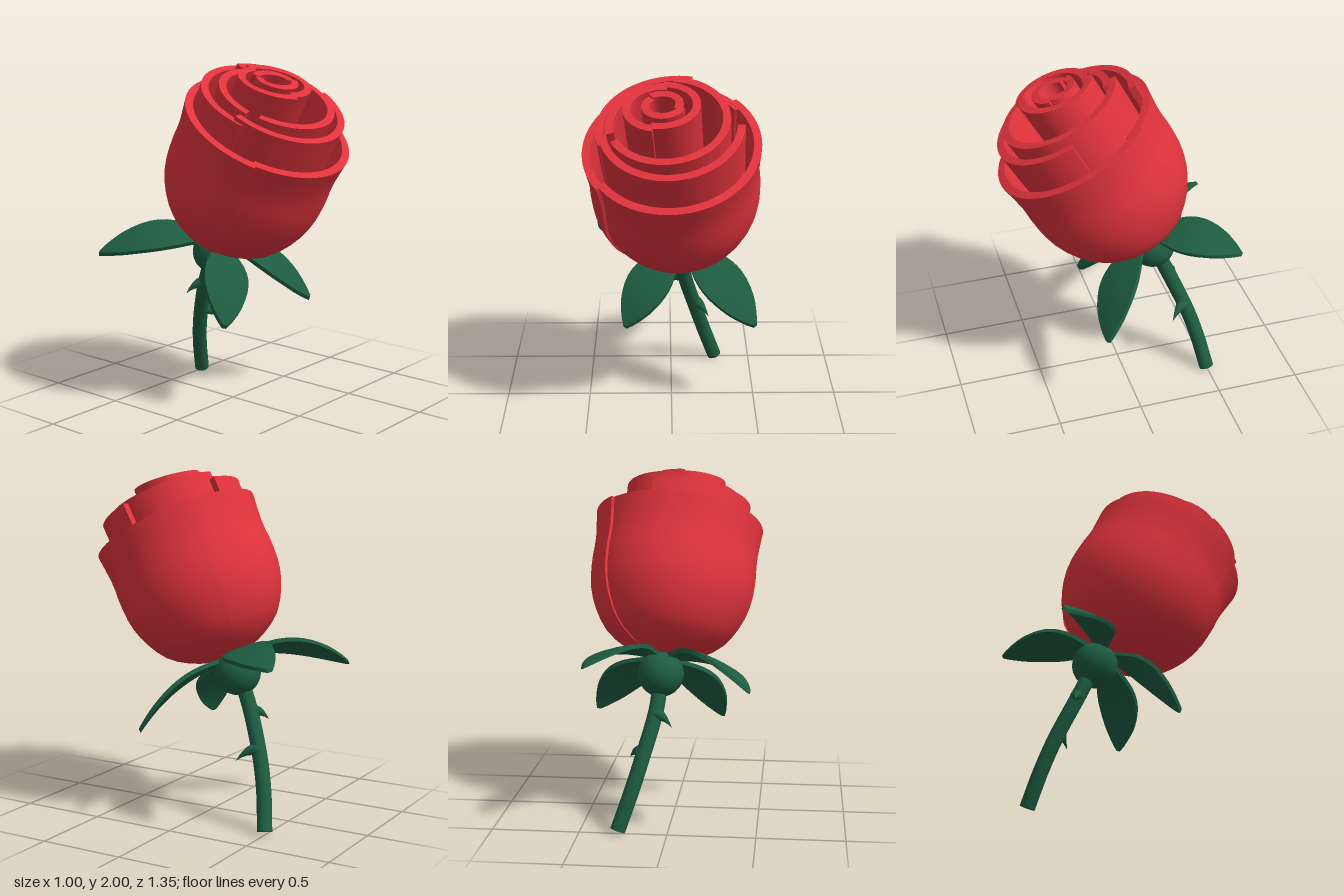
import * as THREE from 'three';

const red = new THREE.MeshStandardMaterial({ color: 0xe0333c });
const green = new THREE.MeshStandardMaterial({ color: 0x1d5c41 });
const V2 = (x, y) => new THREE.Vector2(x, y);
const V3 = (x, y, z) => new THREE.Vector3(x, y, z);

function mesh(name, geometry, material) {
  const m = new THREE.Mesh(geometry, material);
  m.name = name;
  return m;
}

// Reshape a unit box: rule(s, t, f) takes 0..1 fractions along x, y and z
function shapeBox(nx, ny, nz, rule) {
  const g = new THREE.BoxGeometry(1, 1, 1, nx, ny, nz);
  const p = g.attributes.position;
  for (let i = 0; i < p.count; i++) {
    const v = rule(p.getX(i) + 0.5, p.getY(i) + 0.5, p.getZ(i) + 0.5);
    p.setXYZ(i, v.x, v.y, v.z);
  }
  g.computeVertexNormals();
  return g;
}

// Thick curved wall: a profile swept from angle a0 to a1 (degrees, 0 = front).
// The radius grows by `spiral` along the sweep; `tilt` lifts the front of the rim.
function petal(name, points, a0, a1, spiral, tilt, thick) {
  const curve = new THREE.SplineCurve(points);
  const segments = Math.ceil((a1 - a0) / 5);
  const g = shapeBox(segments, 18, 1, (s, t, f) => {
    const a = THREE.MathUtils.degToRad(a0 + (a1 - a0) * s);
    const p = curve.getPoint(t), d = curve.getTangent(t);
    const inset = thick * (1 - f);
    const r = Math.max(0.005, p.x - d.y * inset + spiral * (s - 0.5) * Math.sqrt(t));
    const y = p.y + d.x * inset + tilt * Math.cos(a) * t;
    return V3(r * Math.sin(a), y, r * Math.cos(a));
  });
  return mesh(name, g, red);
}

// Pointed leaf growing along +z, arching up and then drooping
function sepal(length, droop) {
  const outline = new THREE.SplineCurve([
    V2(0, 0.03), V2(0.15, 0.065), V2(0.38, 0.122), V2(0.58, 0.135),
    V2(0.78, 0.105), V2(0.92, 0.055), V2(1, 0.012)]);
  const g = shapeBox(4, 1, 16, (s, t, f) => {
    const w = outline.getPoint(f), side = (s - 0.5) * 2;
    const y = 0.09 + 0.07 * w.x - (droop + 0.16) * w.x ** 2.2
      - 0.008 * side * side * Math.sin(Math.PI * f) + (t - 0.5) * 0.025;
    return V3(side * w.y, y, 0.04 + w.x * (length - 0.04));
  });
  return mesh('sepal', g, green);
}

// Curved hook from a point on the stem to its tip
function thorn(base, tip) {
  const dir = tip.clone().sub(base);
  const g = new THREE.ConeGeometry(0.045, dir.length(), 10, 5);
  g.translate(0, dir.length() / 2, 0);
  g.applyQuaternion(new THREE.Quaternion().setFromUnitVectors(V3(0, 1, 0), dir.clone().normalize()));
  const p = g.attributes.position;
  for (let i = 0; i < p.count; i++) {
    const k = V3().fromBufferAttribute(p, i).dot(dir) / dir.lengthSq();
    p.setY(i, p.getY(i) + 0.09 * k * (1 - k));
  }
  g.computeVertexNormals();
  const m = mesh('thorn', g, green);
  m.position.copy(base);
  return m;
}

export function createModel() {
  const model = new THREE.Group();
  model.name = 'rose';

  // Flower head, leaning forward on top of the stem
  const head = new THREE.Group();
  head.name = 'flowerHead';
  head.position.set(0.065, 0.86, -0.197);
  head.quaternion.setFromUnitVectors(V3(0, 1, 0), V3(-0.07, 0.87, 0.49).normalize());
  model.add(head);

  // Two large outer petals forming the cup
  const cup = [V2(0.01, 0.1), V2(0.1, 0.11), V2(0.22, 0.15), V2(0.34, 0.23), V2(0.42, 0.35),
    V2(0.465, 0.48), V2(0.477, 0.62), V2(0.473, 0.76), V2(0.49, 0.93)];
  head.add(petal('outerFrontPetal', cup, -58, 132, 0.02, 0, 0.045));
  head.add(petal('outerBackPetal', cup, 124, 304, 0.02, 0, 0.045));

  // Inner petals: rim radius, rim height, start angle, end angle, spiral, tilt, x offset, z offset
  const inner = [
    [0.4, 1.09, -85, 86, 0.02, 0, 0, -0.01],
    [0.42, 1.06, 162, 285, -0.03, 0.03, 0, -0.02],
    [0.345, 1.12, -65, 172, 0.02, 0.02, -0.015, -0.02],
    [0.325, 1.11, 165, 282, 0.02, 0.02, -0.015, -0.02],
    [0.21, 1.2, -20, 176, 0.02, 0.035, -0.035, -0.05],
    [0.21, 1.2, 170, 346, 0.02, 0.035, -0.035, -0.05],
    [0.12, 1.21, -140, 68, 0.02, 0.02, -0.03, -0.05],
    [0.12, 1.21, 60, 215, 0.02, 0.02, -0.03, -0.05],
  ];
  for (const [r, h, a0, a1, spiral, tilt, x, z] of inner) {
    const profile = [V2(r * 0.88, 0.42), V2(r * 0.97, 0.7), V2(r, h)];
    const wall = petal('innerPetal', profile, a0, a1, spiral, tilt, 0.043);
    wall.position.set(x, 0, z);
    head.add(wall);
  }

  // Calyx and its four sepals: angle, length, droop
  head.add(mesh('calyx', new THREE.SphereGeometry(0.132, 32, 20), green));
  for (const [angle, length, droop] of [[-37, 0.59, 0.08], [39, 0.65, 0.1], [137, 0.56, 0.12], [-128, 0.67, 0.17]]) {
    const leaf = sepal(length, droop);
    leaf.rotation.y = THREE.MathUtils.degToRad(angle);
    head.add(leaf);
  }

  // Stem with a closed lower end
  const path = new THREE.CatmullRomCurve3([
    V3(0.065, 0.86, -0.2), V3(0.08, 0.68, -0.28), V3(0.155, 0.4, -0.395),
    V3(0.21, 0.22, -0.45), V3(0.28, 0.015, -0.495)]);
  const stem = new THREE.Group();
  stem.name = 'stem';
  stem.add(mesh('stemTube', new THREE.TubeGeometry(path, 32, 0.044, 16), green));
  const end = mesh('stemEnd', new THREE.CircleGeometry(0.044, 16), green);
  end.position.copy(path.getPoint(1));
  end.quaternion.setFromUnitVectors(V3(0, 0, 1), path.getTangent(1));
  stem.add(end);
  stem.add(thorn(V3(0.085, 0.64, -0.3), V3(-0.015, 0.585, -0.36)));
  stem.add(thorn(V3(0.15, 0.44, -0.38), V3(0.235, 0.385, -0.28)));
  model.add(stem);

  return model;
}
